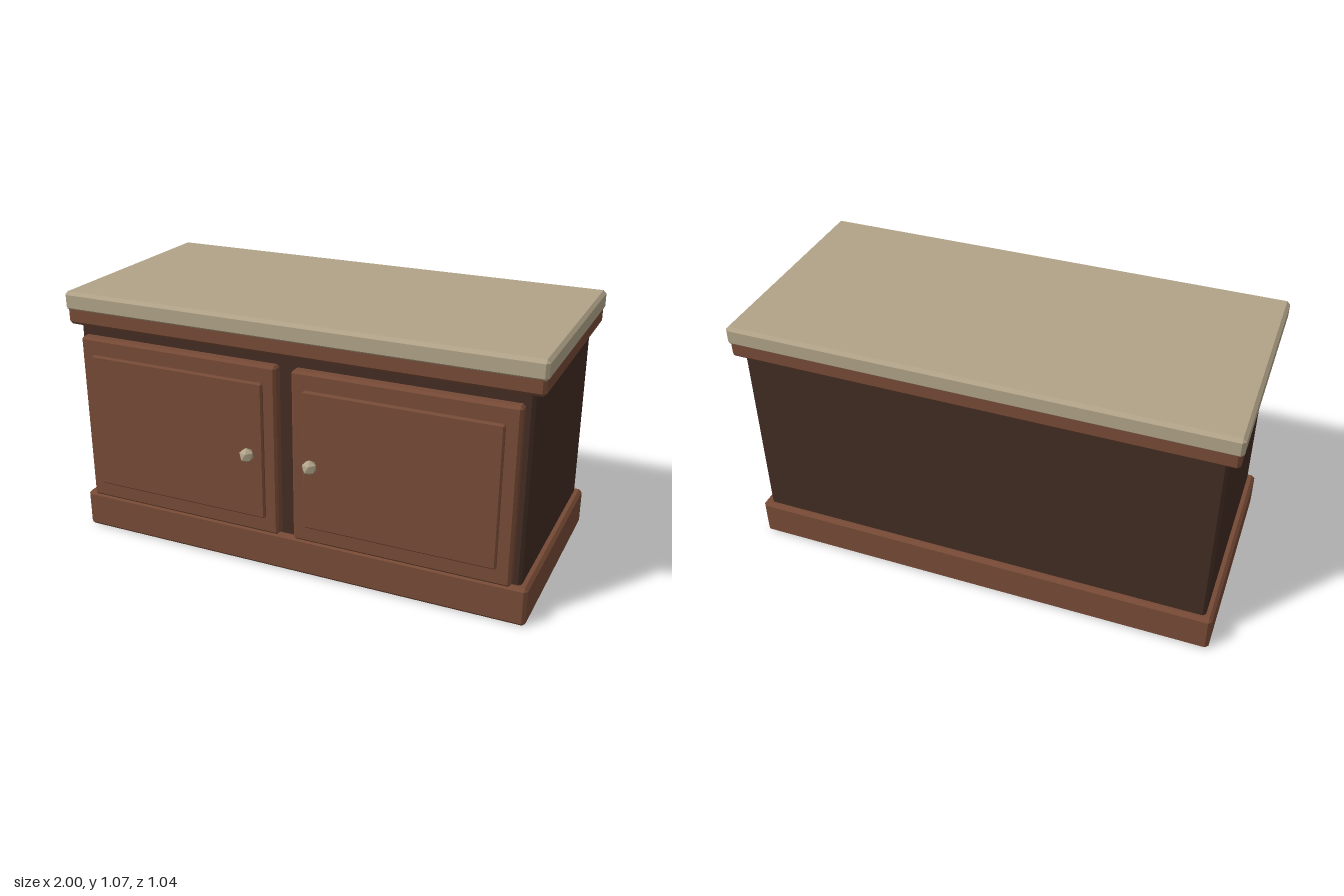
import * as THREE from 'three';
import { ConvexGeometry } from 'three/addons/geometries/ConvexGeometry.js';

const material = (name, color) => {
  const m = new THREE.MeshStandardMaterial({ color });
  m.name = name;
  return m;
};

// Box between two corners with every edge chamfered by c
function chamferBox([x0, y0, z0], [x1, y1, z1], c) {
  const half = [(x1 - x0) / 2, (y1 - y0) / 2, (z1 - z0) / 2];
  const points = [];
  for (const sx of [-1, 1]) for (const sy of [-1, 1]) for (const sz of [-1, 1]) {
    for (let axis = 0; axis < 3; axis++) {
      const p = half.map((h, i) => (i === axis ? h : h - c));
      points.push(new THREE.Vector3(sx * p[0], sy * p[1], sz * p[2]));
    }
  }
  return new ConvexGeometry(points).translate((x0 + x1) / 2, (y0 + y1) / 2, (z0 + z1) / 2);
}

// Faceted 20-sided knob with its poles along y
function knobGeometry(r) {
  const points = [new THREE.Vector3(0, r, 0), new THREE.Vector3(0, -r, 0)];
  const ring = r * 2 / Math.sqrt(5), h = r / Math.sqrt(5);
  for (let i = 0; i < 10; i++) {
    const a = i * Math.PI / 5;
    points.push(new THREE.Vector3(ring * Math.cos(a), i % 2 ? -h : h, ring * Math.sin(a)));
  }
  return new ConvexGeometry(points);
}

export function createModel() {
  const model = new THREE.Group();
  model.name = 'cabinet';
  const wood = material('wood', 0x764a35);
  const darkWood = material('darkWood', 0x422c23);
  const stone = material('stone', 0xb1a388);

  const add = (parent, name, geometry, mat) => {
    const mesh = new THREE.Mesh(geometry, mat);
    mesh.name = name;
    parent.add(mesh);
    return mesh;
  };

  // Carcass, from plinth to worktop
  add(model, 'plinth', chamferBox([-0.983, 0, -0.51], [0.983, 0.162, 0.414], 0.013), wood);
  add(model, 'body', chamferBox([-0.953, 0.01, -0.487], [0.953, 0.97, 0.391], 0.012), darkWood);
  add(model, 'cornice', chamferBox([-0.994, 0.927, -0.514], [0.994, 1.005, 0.421], 0.013), wood);
  add(model, 'worktop', chamferBox([-1, 0.985, -0.521], [1, 1.065, 0.427], 0.013), stone);

  // Mirrored pair of doors, each with a raised panel and a knob
  for (const side of [-1, 1]) {
    const door = new THREE.Group();
    door.name = side > 0 ? 'leftDoor' : 'rightDoor';
    const span = (inner, outer) => (side > 0 ? [inner, outer] : [-outer, -inner]);
    const [d0, d1] = span(0.033, 0.923);
    const [p0, p1] = span(0.086, 0.868);
    add(door, 'doorSlab', chamferBox([d0, 0.171, 0.388], [d1, 0.888, 0.44], 0.01), wood);
    add(door, 'doorPanel', chamferBox([p0, 0.241, 0.41], [p1, 0.818, 0.454], 0.006), wood);
    add(door, 'knob', knobGeometry(0.031), stone).position.set(side * 0.135, 0.53, 0.495);
    model.add(door);
  }
  return model;
}
